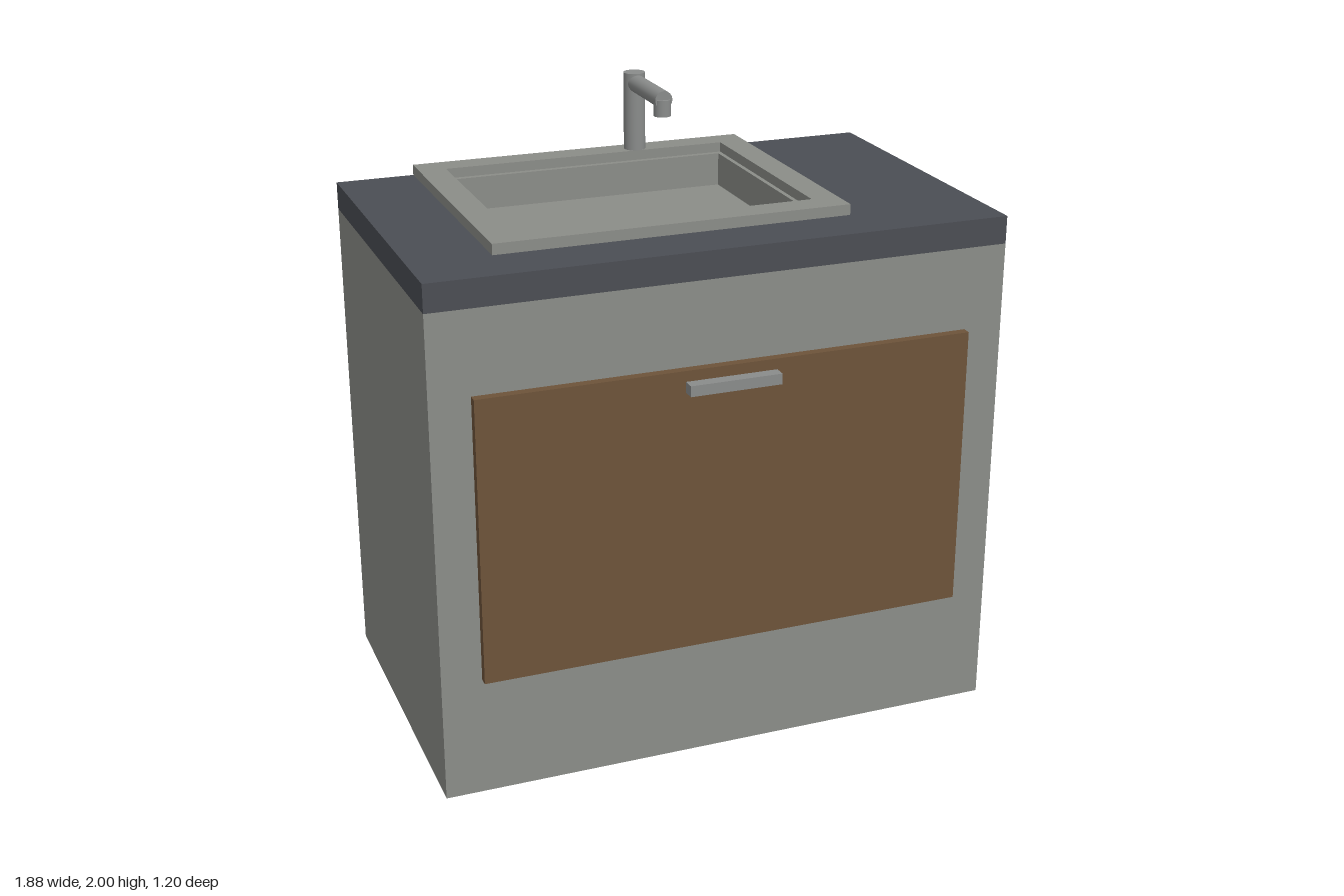
import * as THREE from 'three';

const material = (name, color) => {
  const m = new THREE.MeshStandardMaterial({ color });
  m.name = name;
  return m;
};

export function createModel() {
  const grey = material('cabinet grey', 0x8b8d88);
  const slate = material('counter slate', 0x4b4e54);
  const wood = material('brown wood', 0x6d533a);
  const metal = material('tap metal', 0x8a8c8b);

  const model = new THREE.Group();
  model.name = 'vanityUnit';

  const add = (name, geometry, mat, parent = model) => {
    const mesh = new THREE.Mesh(geometry, mat);
    mesh.name = name;
    parent.add(mesh);
    return mesh;
  };

  // Box given by its limits on each axis
  const box = (x0, x1, y0, y1, z0, z1) =>
    new THREE.BoxGeometry(x1 - x0, y1 - y0, z1 - z0)
      .translate((x0 + x1) / 2, (y0 + y1) / 2, (z0 + z1) / 2);

  // Horizontal slab with a rectangular opening; rectangles are [x0, x1, z0, z1]
  const frame = (outer, inner, y0, y1) => {
    const corners = ([x0, x1, z0, z1]) => [[x0, -z1], [x1, -z1], [x1, -z0], [x0, -z0]]
      .map(([x, y]) => new THREE.Vector2(x, y));
    const shape = new THREE.Shape(corners(outer));
    shape.holes.push(new THREE.Path(corners(inner).reverse()));
    return new THREE.ExtrudeGeometry(shape, { depth: y1 - y0, bevelEnabled: false })
      .rotateX(-Math.PI / 2).translate(0, y0, 0);
  };

  const body = [-0.94, 0.94, -0.6, 0.53];
  const rim = [-0.68, 0.485, -0.6, 0.345];
  const opening = [-0.59, 0.395, -0.51, 0.25];
  const bowl = [-0.57, 0.38, -0.49, 0.23];

  // Cabinet, open at the top so that the bowl can sink into it
  const cabinet = box(-0.94, 0.94, 0, 1.61, -0.6, 0.53);
  const index = Array.from(cabinet.index.array);
  index.splice(12, 6);
  cabinet.setIndex(index);
  cabinet.clearGroups();
  add('cabinet', cabinet, grey);
  add('countertop', frame(body, opening, 1.61, 1.7), slate);

  // Sink: raised rim, stepped ledge and sunken floor
  const sink = new THREE.Group();
  sink.name = 'sink';
  model.add(sink);
  add('sinkRim', frame(rim, opening, 1.7, 1.735), grey, sink);
  add('sinkWalls', frame(opening, bowl, 1.59, 1.702), grey, sink);
  add('sinkFloor', box(opening[0], opening[1], 1.575, 1.59, opening[2], opening[3]), grey, sink);

  // Drawer front and its bar handle
  add('drawerFront', box(-0.81, 0.81, 0.4, 1.34, 0.53, 0.56), wood);
  add('drawerHandle', box(-0.15, 0.15, 1.27, 1.305, 0.56, 0.6), metal);

  // Tap: post, horizontal spout and downward nozzle
  const tap = new THREE.Group();
  tap.name = 'tap';
  tap.position.set(0.09, 0, -0.545);
  model.add(tap);
  add('tapPost', new THREE.CylinderGeometry(0.037, 0.037, 0.265, 32), metal, tap)
    .position.y = 1.8675;
  const spout = add('tapSpout', new THREE.CylinderGeometry(0.03, 0.03, 0.285, 32), metal, tap);
  spout.rotation.x = Math.PI / 2;
  spout.position.set(0, 1.965, 0.1425);
  add('tapNozzle', new THREE.CylinderGeometry(0.029, 0.029, 0.055, 32), metal, tap)
    .position.set(0, 1.9375, 0.27);

  return model;
}
